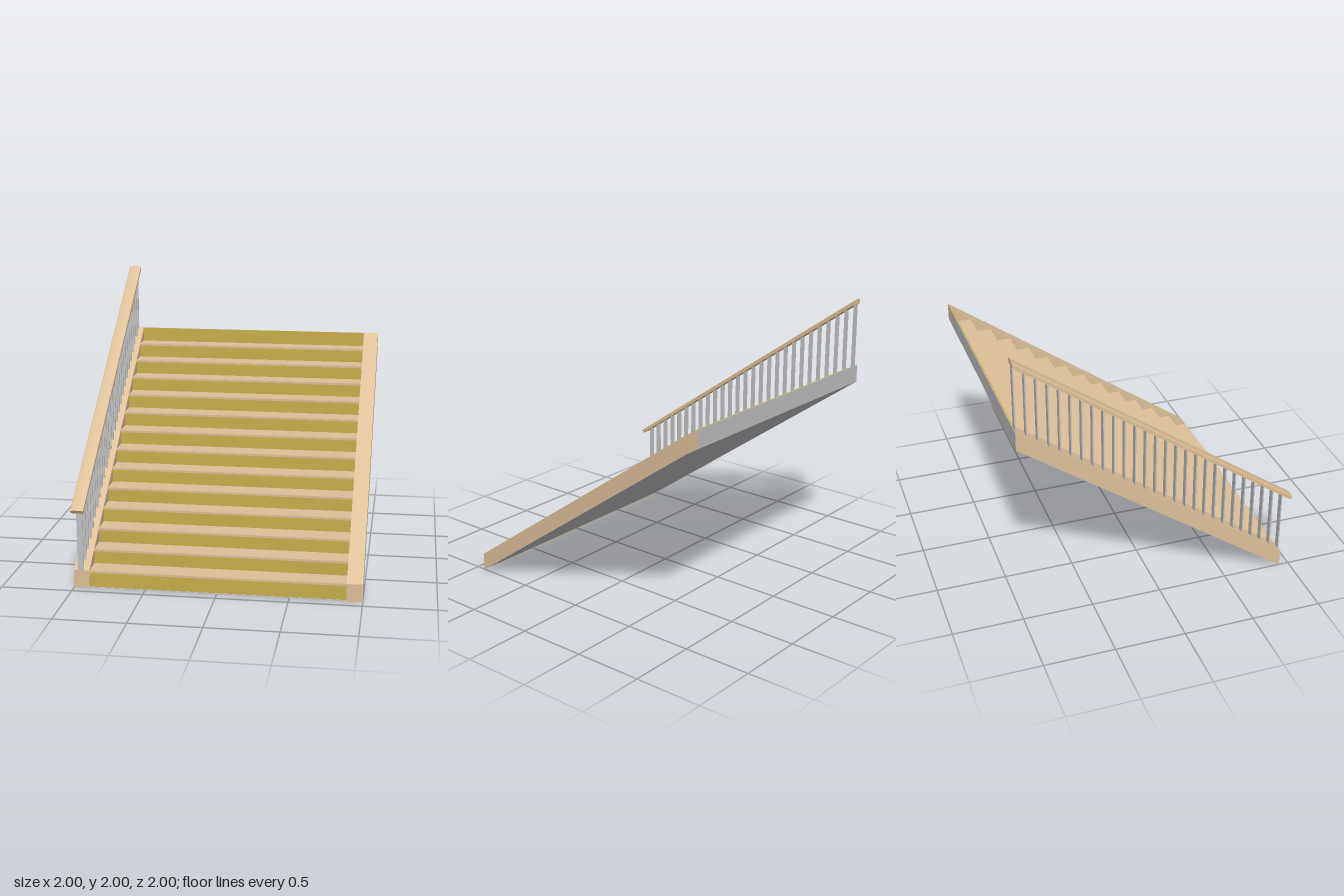
import * as THREE from 'three';

const FRONT = 0.93, BACK = -1, RUN = 0.1485, RISE = 0.1055;
const SLOPE = RISE / RUN;
const STEPS = 13;
const SIDE = 0.89; // inner face of the stringers

export function createModel() {
  const group = new THREE.Group();
  const material = (name, color) => {
    const m = new THREE.MeshStandardMaterial({ color });
    m.name = name;
    return m;
  };
  const wood = material('tan wood', 0xdcbf97);
  const ochre = material('ochre riser', 0xc8ad4b);
  const grey = material('grey metal', 0xc0c0c0);

  const add = (name, geometry, mat) => {
    const mesh = new THREE.Mesh(geometry, mat);
    mesh.name = name;
    group.add(mesh);
    return mesh;
  };
  const box = (name, x0, x1, y0, y1, z0, z1, mat) => add(
    name,
    new THREE.BoxGeometry(x1 - x0, y1 - y0, z1 - z0)
      .translate((x0 + x1) / 2, (y0 + y1) / 2, (z0 + z1) / 2),
    mat,
  );

  // Height of the sloping underside at depth z
  const lineY = (z) => (FRONT - z) * SLOPE;

  // Sloping bar with upright ends, between heights lo and hi above the underside line
  const slopeBar = (name, x0, x1, lo, hi, zBack, zFront, mat) => {
    const shape = new THREE.Shape([
      new THREE.Vector2(zFront, lineY(zFront) + lo),
      new THREE.Vector2(zFront, lineY(zFront) + hi),
      new THREE.Vector2(zBack, lineY(zBack) + hi),
      new THREE.Vector2(zBack, lineY(zBack) + lo),
    ]);
    const g = new THREE.ExtrudeGeometry(shape, { depth: x1 - x0, bevelEnabled: false });
    g.rotateY(-Math.PI / 2).translate(x1, 0, 0);
    return add(name, g, mat);
  };

  // Stringers
  slopeBar('rightStringer', -1, -SIDE, 0.003, 0.129, BACK + 0.004, FRONT, wood);
  slopeBar('leftStringer', SIDE, 1, 0.003, 0.129, BACK, FRONT, wood);

  // Soffit under the flight; the stringer feet stay bare at the front
  slopeBar('soffit', -SIDE, SIDE, 0, 0.006, BACK, FRONT - 0.005, grey);
  for (const x of [-1, SIDE]) {
    slopeBar('stringerSoffit', x, x + 1 - SIDE, 0, 0.003, BACK, FRONT - 0.05, grey);
  }
  // Back plate closing the top end
  box('backPlate', -1, SIDE, lineY(BACK) + 0.002, 1.5, BACK, BACK + 0.004, grey);

  // Treads and risers
  for (let k = 0; k <= STEPS; k++) {
    const z = FRONT - k * RUN;
    const top = 0.129 + k * RISE;
    const last = k === STEPS;
    const low = k === 0 ? 0.008 : top - RISE;
    box('riser', -SIDE, SIDE, low, last ? 1.5 : top - 0.016,
      last ? BACK + 0.004 : z - 0.016, last ? BACK + 0.012 : z - 0.006, ochre);
    if (!last) {
      box('tread', -SIDE, SIDE, top - 0.016, top, Math.max(z - RUN - 0.008, BACK + 0.005), z, wood);
    }
  }

  // Flat balusters, two to each step
  const railSlope = 0.7075;
  const railTop = (z) => 0.585 + (1 - z) * railSlope;
  for (let i = 0; i < 27; i++) {
    const z = 0.926 - i * 0.0738;
    box('baluster', -0.972, -0.928, lineY(z) + 0.12, railTop(z) - 0.03, z - 0.004, z + 0.004, grey);
  }

  // Handrail: crowned section sheared along the slope, square cut at the lower end
  const section = new THREE.Shape();
  section.moveTo(-0.045, -0.036);
  section.lineTo(0.045, -0.036);
  section.lineTo(0.045, -0.009);
  section.quadraticCurveTo(0.036, 0, 0, 0);
  section.quadraticCurveTo(-0.036, 0, -0.045, -0.009);
  const rail = new THREE.ExtrudeGeometry(section, {
    depth: 2, bevelEnabled: false, curveSegments: 6,
  }).translate(-0.95, 0, -1);
  const p = rail.attributes.position;
  for (let i = 0; i < p.count; i++) {
    const h = p.getY(i);
    const z = p.getZ(i) > 0 ? 1 + h * 0.45 : -1;
    p.setXYZ(i, p.getX(i), railTop(z) + h, z);
  }
  rail.computeVertexNormals();
  add('handrail', rail, wood);

  return group;
}
